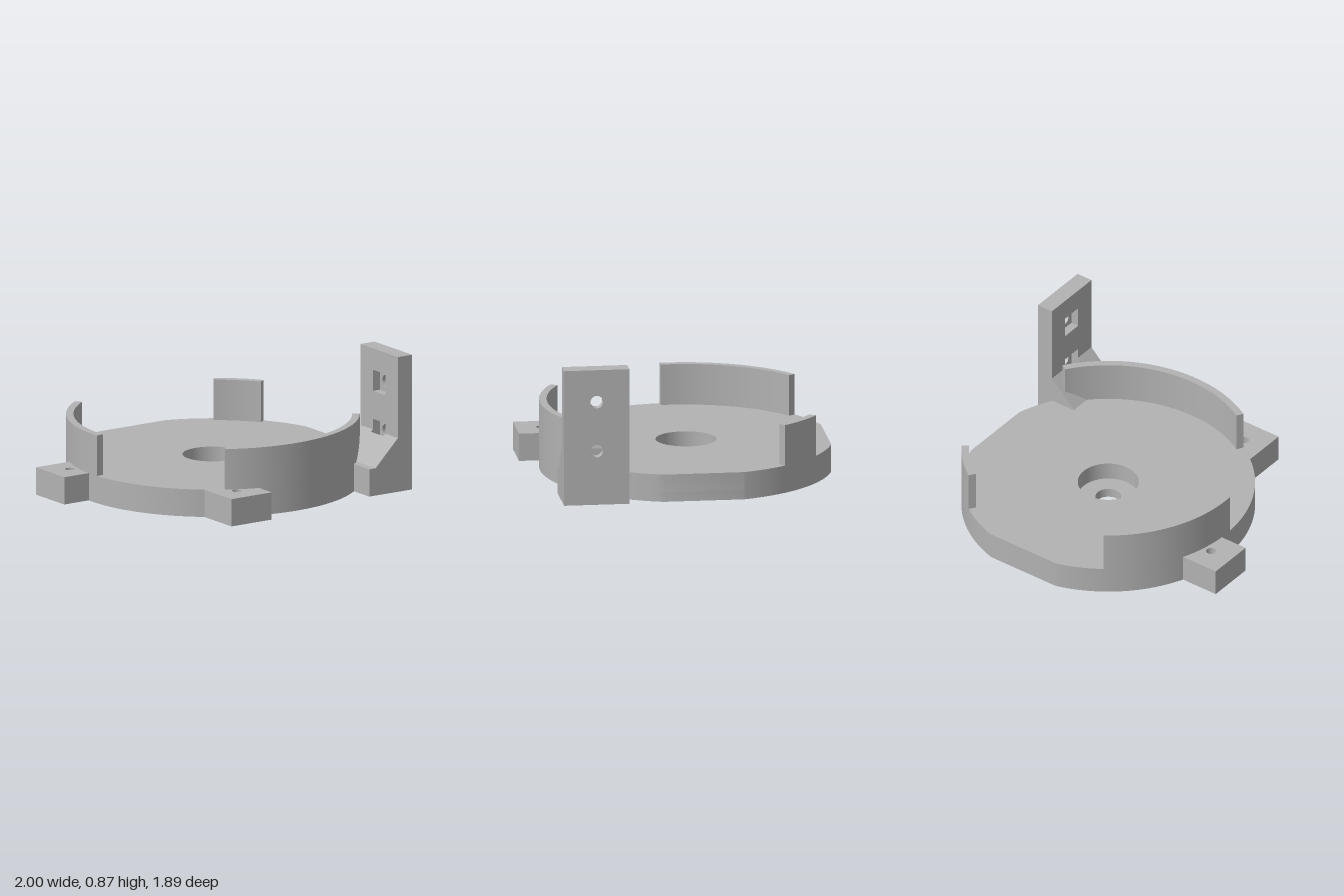
import * as THREE from 'three';
import { toCreasedNormals } from 'three/addons/utils/BufferGeometryUtils.js';

const rad = THREE.MathUtils.degToRad;
const CX = 0.1, CY = 0.07;      // disc centre, drawn as (x, -z)
const R = 0.915, R_IN = 0.868;  // disc and rim wall radii
const PLATE = 0.175, RIM = 0.435;

const polygon = (pts) => new THREE.Shape(pts.map(([x, y]) => new THREE.Vector2(x, y)));
const rect = (x0, y0, x1, y1) => polygon([[x0, y0], [x1, y0], [x1, y1], [x0, y1]]);
const circle = (x, y, r) => new THREE.Path().absarc(x, y, r, 0, Math.PI * 2, false);

function extrude(shape, depth) {
  return new THREE.ExtrudeGeometry(shape, { depth, bevelEnabled: false, curveSegments: 48 });
}

export function createModel() {
  const model = new THREE.Group();
  const grey = new THREE.MeshStandardMaterial({ color: 0xb2b2b2 });
  grey.name = 'grey plastic';

  const add = (name, geometry, parent = model) => {
    const mesh = new THREE.Mesh(toCreasedNormals(geometry, 0.4), grey);
    mesh.name = name;
    parent.add(mesh);
  };
  // Extrusions along y (shape is x, -z), along x (shape is -z, y) and along z (shape is x, y)
  const upright = (shape, y0, y1) => extrude(shape, y1 - y0).rotateX(-Math.PI / 2).translate(0, y0, 0);
  const sideways = (shape, x0, x1) => extrude(shape, x1 - x0).rotateY(Math.PI / 2).translate(x0, 0, 0);
  const forward = (shape, z0, z1) => extrude(shape, z1 - z0).translate(0, 0, z0);

  // Base disc with two flats; wide recess above a small through hole
  const disc = (holeRadius) => {
    const flat = Math.acos(0.88 / R);
    const shape = new THREE.Shape();
    shape.absarc(CX, CY, R, flat, Math.PI / 2 - flat, false);
    shape.absarc(CX, CY, R, Math.PI / 2 + flat, Math.PI * 2 - flat, false);
    shape.closePath();
    shape.holes.push(circle(CX, CY, holeRadius));
    return shape;
  };
  add('discFloor', upright(disc(0.08), 0, 0.06));
  add('discBody', upright(disc(0.19), 0.06, PLATE));

  // Curved rim walls standing on the disc edge
  const walls = [['leftRimWall', 35, 55], ['rightRimWall', 125, 183], ['frontRimWall', 240, 325]];
  for (const [name, from, to] of walls) {
    const shape = new THREE.Shape();
    shape.absarc(CX, CY, R, rad(from), rad(to), false);
    shape.absarc(CX, CY, R_IN, rad(to), rad(from), true);
    shape.closePath();
    add(name, upright(shape, PLATE - 0.01, RIM));
  }

  // Mounting tabs with screw holes
  const sideTab = rect(-1, 0.11, -0.7, 0.42);
  sideTab.holes.push(circle(-0.848, 0.265, 0.031));
  add('sideTab', upright(sideTab, 0, PLATE));
  const frontTab = rect(-0.465, -0.945, -0.16, -0.6);
  frontTab.holes.push(circle(-0.314, -0.787, 0.031));
  add('frontTab', upright(frontTab, 0, PLATE));

  // Upright bracket: outer slab with bolt holes, inner slab with square nut pockets
  const bracket = new THREE.Group();
  bracket.name = 'bracket';
  model.add(bracket);
  const Z0 = 0.4, Z1 = 0.81, ZC = 0.605, N = 0.068, TOP = 0.865;
  const outer = rect(-Z1, 0, -Z0, TOP);
  const inner = rect(-Z1, 0, -Z0, TOP);
  for (const y of [0.345, 0.66]) {
    outer.holes.push(circle(-ZC, y, 0.04));
    inner.holes.push(rect(-ZC - N, y - N, -ZC + N, y + N));
  }
  add('bracketOuterSlab', sideways(outer, 0.945, 1), bracket);
  add('bracketInnerSlab', sideways(inner, 0.892, 0.945), bracket);

  // Sloped foot, trimmed in the middle where the lower pocket meets it
  const foot = (x) => polygon([[0.675, 0], [x, 0], [x, x - 0.547], [0.722, PLATE], [0.675, PLATE]]);
  const trimmed = polygon([[0.675, 0], [0.892, 0], [0.892, 0.277], [0.878, 0.277],
    [0.878, 0.331], [0.722, PLATE], [0.675, PLATE]]);
  add('bracketFootBack', forward(foot(0.892), Z0, ZC - N), bracket);
  add('bracketFootMiddle', forward(trimmed, ZC - N, ZC + N), bracket);
  add('bracketFootFront', forward(foot(0.892), ZC + N, Z1), bracket);

  return model;
}
